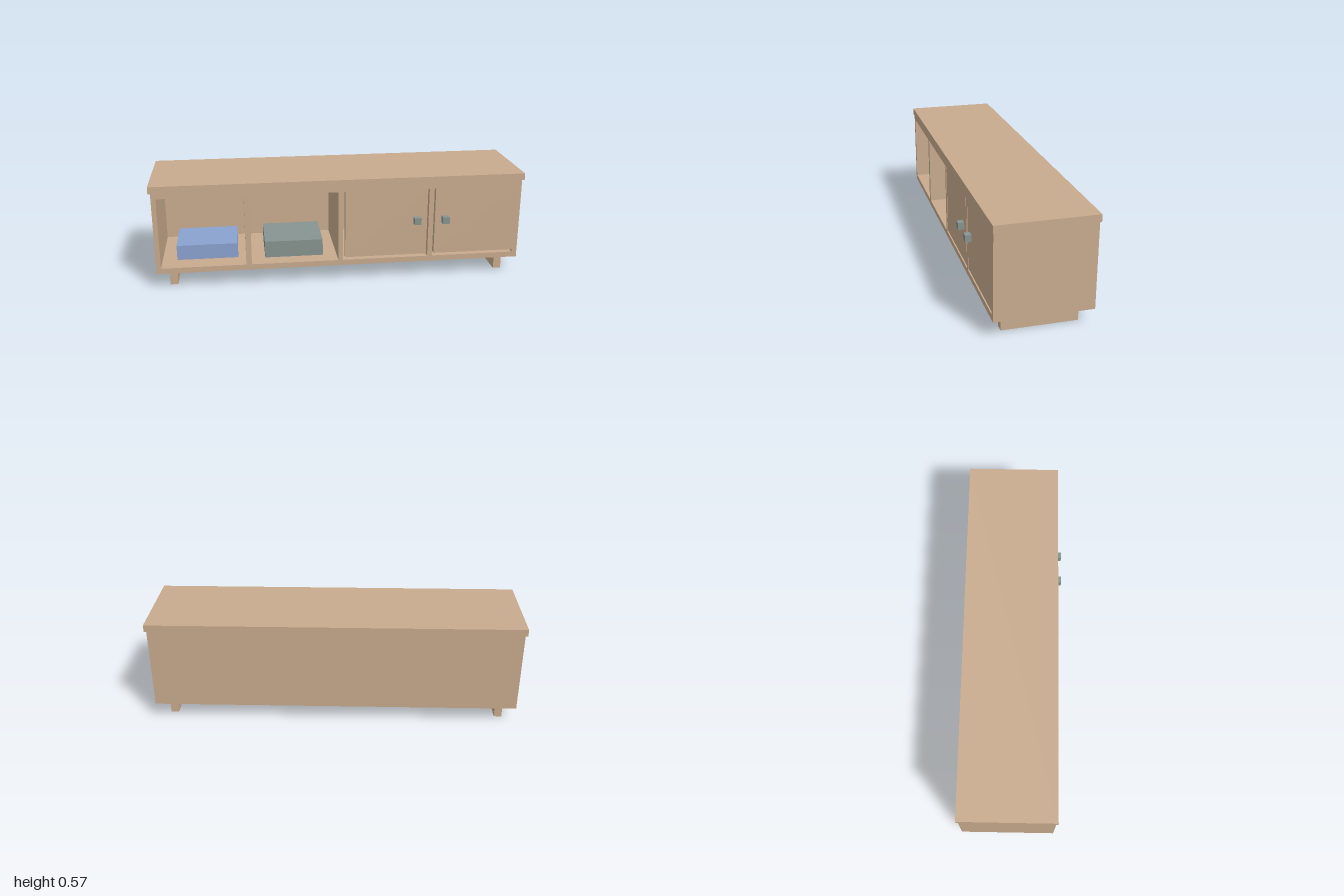
import * as THREE from 'three';

const wood = new THREE.MeshStandardMaterial({ color: 0xc9ab8e });
wood.name = 'wood';
const blue = new THREE.MeshStandardMaterial({ color: 0x8aa2d0 });
blue.name = 'blue';
const grey = new THREE.MeshStandardMaterial({ color: 0x879491 });
grey.name = 'greyGreen';

// Box given by its lower and upper limits on each axis
function box(name, material, [x0, x1], [y0, y1], [z0, z1]) {
  const mesh = new THREE.Mesh(new THREE.BoxGeometry(x1 - x0, y1 - y0, z1 - z0), material);
  mesh.position.set((x0 + x1) / 2, (y0 + y1) / 2, (z0 + z1) / 2);
  mesh.name = name;
  return mesh;
}

function rectangle(Type, x0, x1, y0, y1) {
  const path = new Type();
  path.moveTo(x0, y0).lineTo(x1, y0).lineTo(x1, y1).lineTo(x0, y1).closePath();
  return path;
}

export function createModel() {
  const model = new THREE.Group();
  model.name = 'lowCabinet';
  const front = 0.234, back = -0.262, inner = -0.234;
  const floor = 0.118, ceiling = 0.505;

  // Carcass: a frame with four compartments, closed by a back panel
  const outline = rectangle(THREE.Shape, -0.988, 0.988, 0.088, 0.535);
  for (const [x0, x1] of [[-0.963, -0.513], [-0.483, -0.015], [0.01, 0.478], [0.505, 0.96]]) {
    outline.holes.push(rectangle(THREE.Path, x0, x1, floor, ceiling));
  }
  const frame = new THREE.Mesh(
    new THREE.ExtrudeGeometry(outline, { depth: front - inner, bevelEnabled: false }), wood);
  frame.position.z = inner;
  frame.name = 'carcass';
  model.add(frame);
  model.add(box('backPanel', wood, [-0.988, 0.988], [0.088, 0.535], [back, inner]));

  // Overhanging top
  model.add(box('top', wood, [-1, 1], [0.535, 0.573], [-0.266, 0.239]));

  // Flush doors with narrow gaps, and their square knobs
  model.add(box('leftDoor', wood, [0.022, 0.47], [0.133, ceiling], [0.204, front]));
  model.add(box('rightDoor', wood, [0.513, 0.96], [0.133, ceiling], [0.204, front]));
  for (const x of [0.413, 0.569]) {
    model.add(box('knob', grey, [x - 0.019, x + 0.019], [0.313, 0.35], [front, 0.267]));
  }

  // Runner feet
  for (const x of [-0.904, 0.9]) {
    model.add(box('foot', wood, [x - 0.021, x + 0.021], [0, 0.088], [-0.206, 0.179]));
  }

  // Boxes stored in the open compartments
  model.add(box('blueBox', blue, [-0.884, -0.555], [floor, 0.2], [-0.15, 0.124]));
  model.add(box('greyBox', grey, [-0.408, -0.091], [floor, 0.21], [-0.145, 0.148]));
  return model;
}
